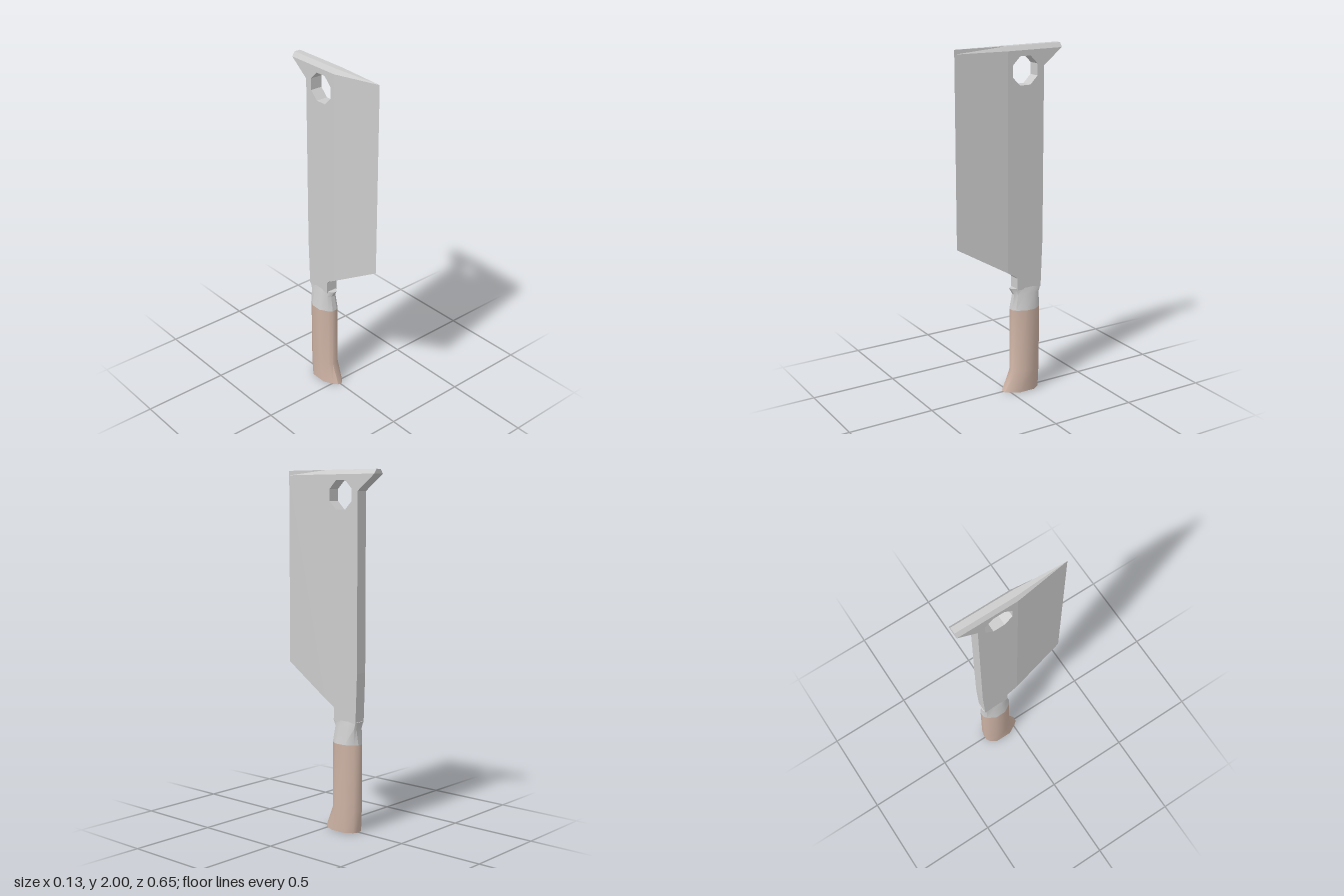
import * as THREE from 'three';
import { toCreasedNormals } from 'three/addons/utils/BufferGeometryUtils.js';

const steel = new THREE.MeshStandardMaterial({ color: 0xcccccc });
const wood = new THREE.MeshStandardMaterial({ color: 0xccb1a3 });

const HALF = 0.035; // half thickness of the spine
const GRIND = 0.02; // z where the blade starts to taper
const EDGE = 0.325; // z of the cutting edge

// Closed solid through mirrored sections: { y, pts: [[x, z], ...] from back to front }.
// A point may carry its own height as a third value.
function loft(sections, crease) {
  const rings = sections.map(({ y, pts }) => {
    const right = pts.map(([x, z, h = y]) => [x, h, z]);
    const left = right.filter((p) => p[0] > 0).reverse().map(([x, h, z]) => [-x, h, z]);
    return [...right, ...left];
  });
  const n = rings[0].length;
  const index = [];
  for (let r = 0; r < rings.length - 1; r++) {
    for (let i = 0; i < n; i++) {
      const a = r * n + i, b = r * n + ((i + 1) % n);
      index.push(a, a + n, b, b, a + n, b + n);
    }
  }
  const top = (rings.length - 1) * n;
  for (let i = 1; i < n - 1; i++) index.push(0, i, i + 1, top, top + i + 1, top + i);
  const geo = new THREE.BufferGeometry();
  geo.setAttribute('position', new THREE.Float32BufferAttribute(rings.flat(2), 3));
  geo.setIndex(index);
  return toCreasedNormals(geo, crease);
}

// Plate cut from a (z, y) outline, centred on x = 0
function plate(points, hole) {
  const shape = new THREE.Shape(points.map(([z, y]) => new THREE.Vector2(z, y)));
  if (hole) shape.holes.push(new THREE.Path(hole));
  const geo = new THREE.ExtrudeGeometry(shape, { depth: 2 * HALF, bevelEnabled: false });
  geo.translate(0, 0, -HALF);
  geo.rotateY(-Math.PI / 2);
  return geo;
}

export function createModel() {
  const group = new THREE.Group();
  const add = (name, geo, material) => {
    const mesh = new THREE.Mesh(geo, material);
    mesh.name = name;
    group.add(mesh);
  };

  // Thick rear of the blade with neck, hook and octagonal hanging hole
  const hole = [];
  for (let i = 0; i < 8; i++) {
    const a = -(i + 0.5) * Math.PI / 4;
    hole.push(new THREE.Vector2(-0.09 + 0.085 * Math.cos(a), 1.865 + 0.085 * Math.sin(a)));
  }
  add('bladeSpine', plate([
    [GRIND, 1.975], [-0.325, 1.975], [-0.21, 1.885], [-0.21, 0.9], [-0.2, 0.62],
    [-0.045, 0.62], [-0.045, 0.69], [-0.035, 0.702], [GRIND, 0.735],
  ], hole), steel);

  // Front of the blade, ground to a sharp edge
  const bevel = plate([[GRIND, 0.735], [EDGE, 0.913], [EDGE, 1.975], [GRIND, 1.975]]);
  const pos = bevel.attributes.position;
  for (let i = 0; i < pos.count; i++) {
    pos.setX(i, pos.getX(i) * (EDGE - pos.getZ(i)) / (EDGE - GRIND));
  }
  bevel.computeVertexNormals();
  add('bladeEdge', bevel, steel);

  // Chamfered top of the blade
  const tip = (w) => [[w, -EDGE], [w, GRIND], [0, EDGE]];
  add('bladeTop', loft([{ y: 1.975, pts: tip(HALF) }, { y: 2, pts: tip(0.018) }], 0.1), steel);

  // Bolster flaring from the neck to the handle, with a small lip at the front
  const grip = [[0.015, -0.205], [0.035, -0.19], [0.063, -0.145], [0.063, -0.082], [0.035, -0.035], [0.015, -0.02]];
  add('bolster', loft([
    { y: 0.5, pts: grip },
    { y: 0.59, pts: [[0.02, -0.195], [0.033, -0.188], [0.043, -0.15], [0.043, -0.09], [0.03, -0.05], [0.012, -0.036]] },
    { y: 0.628, pts: [[0.02, -0.207], [0.033, -0.2], [0.035, -0.15], [0.035, -0.09], [0.028, -0.04], [0.01, -0.015]] },
  ], 0.6), steel);

  // Handle, kicked forward at the butt
  add('handle', loft([
    { y: 0, pts: [[0.015, -0.195], [0.035, -0.185], [0.063, -0.145], [0.063, -0.047], [0.035, 0.005], [0.015, 0.03]] },
    { y: 0.125, pts: [[0.015, -0.204], [0.035, -0.19], [0.063, -0.145], [0.063, -0.08], [0.035, -0.035], [0.015, -0.02]] },
    { y: 0.5, pts: grip },
  ], 0.8), wood);

  return group;
}
